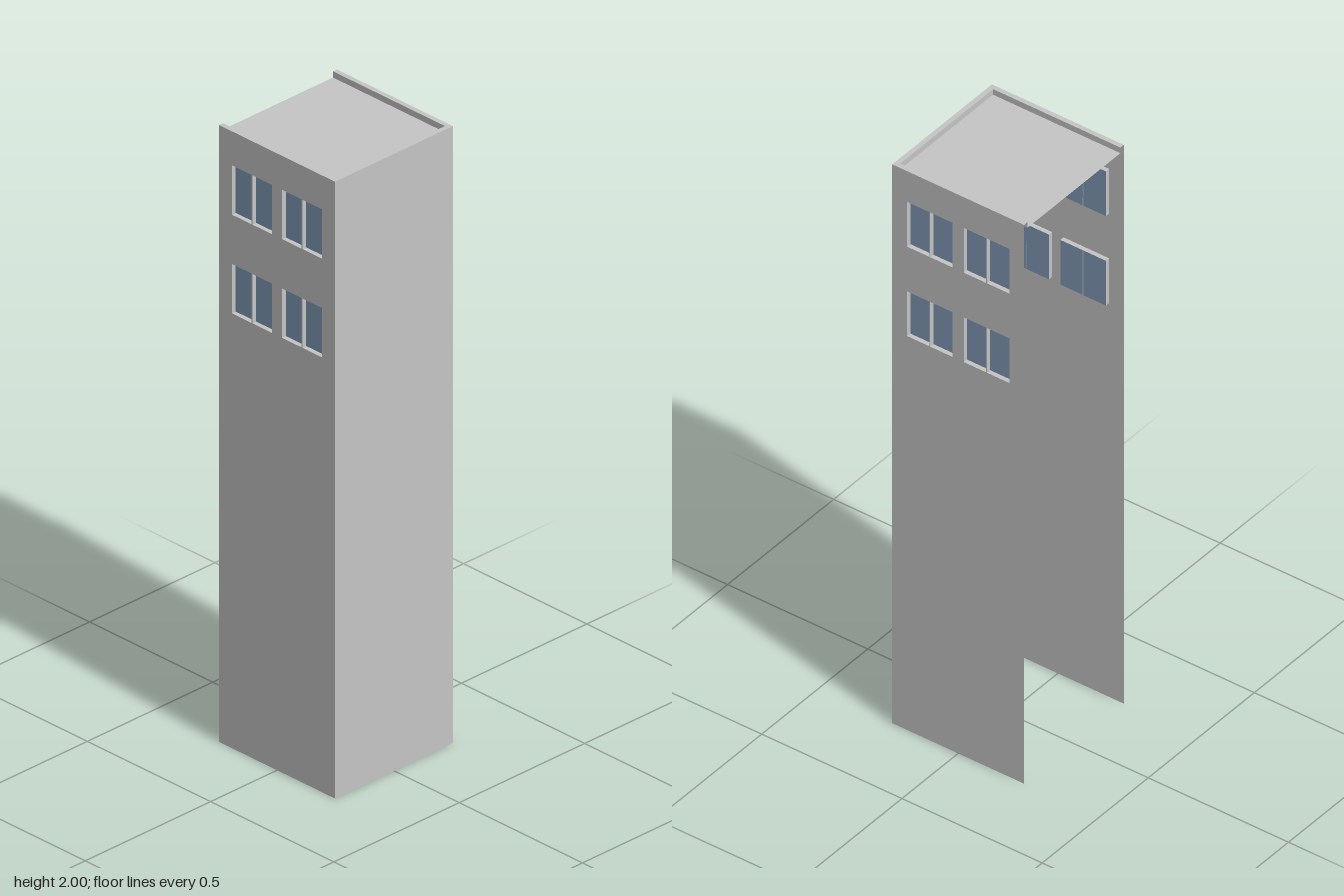
import * as THREE from 'three';

const H = 2, R = 0.235;            // height and half width
const RIM = 0.016, ROOF_Y = 1.98;  // parapet thickness and roof level
const DEPTH = 0.015;               // window recess
const COLUMNS = [[-0.183, -0.02], [0.02, 0.182]];
const ROWS = [[1.41, 1.57], [1.73, 1.89]];

export function createModel() {
  const model = new THREE.Group();
  model.name = 'tower';
  const wallMat = new THREE.MeshStandardMaterial({ color: 0xc5c5c6, side: THREE.DoubleSide });
  wallMat.name = 'grey concrete';
  const glassMat = new THREE.MeshStandardMaterial({ color: 0x819bb8, side: THREE.DoubleSide });
  glassMat.name = 'blue glass';

  // Flat sheet; rotated about x and y to face the wanted way
  const sheet = (parent, name, mat, w, h, [x, y, z], rx = 0, ry = 0) => {
    const mesh = new THREE.Mesh(new THREE.PlaneGeometry(w, h), mat);
    mesh.name = name;
    mesh.position.set(x, y, z);
    mesh.rotation.set(rx, ry, 0);
    parent.add(mesh);
  };
  const Q = Math.PI / 2;

  // Front and back walls with recessed, two-pane windows
  for (const s of [1, -1]) {
    const side = s > 0 ? 'front' : 'back';
    const shape = new THREE.Shape([[-R, 0], [R, 0], [R, H], [-R, H]].map(p => new THREE.Vector2(...p)));
    for (const [x0, x1] of COLUMNS) {
      for (const [y0, y1] of ROWS) {
        // Columns are mirrored for the back wall, which is turned round
        const [a, b] = s > 0 ? [x0, x1] : [-x1, -x0];
        shape.holes.push(new THREE.Path([[a, y0], [a, y1], [b, y1], [b, y0]].map(p => new THREE.Vector2(...p))));

        const win = new THREE.Group();
        win.name = side + 'Window';
        model.add(win);
        const w = x1 - x0, h = y1 - y0, cx = (x0 + x1) / 2, cy = (y0 + y1) / 2;
        const mid = s * (R - DEPTH / 2);
        sheet(win, 'pane', glassMat, w, h, [cx, cy, s * (R - DEPTH)], 0, s > 0 ? 0 : Math.PI);
        sheet(win, 'sill', wallMat, w, DEPTH, [cx, y0, mid], -Q);
        sheet(win, 'lintel', wallMat, w, DEPTH, [cx, y1, mid], Q);
        sheet(win, 'leftReveal', wallMat, DEPTH, h, [x1, cy, mid], 0, -Q);
        sheet(win, 'rightReveal', wallMat, DEPTH, h, [x0, cy, mid], 0, Q);
        const mullion = new THREE.Mesh(new THREE.BoxGeometry(0.003, h, DEPTH), wallMat);
        mullion.name = 'mullion';
        mullion.position.set(cx, cy, mid);
        win.add(mullion);
      }
    }
    const wall = new THREE.Mesh(new THREE.ShapeGeometry(shape), wallMat);
    wall.name = side + 'Wall';
    wall.position.z = s * R;
    wall.rotation.y = s > 0 ? 0 : Math.PI;
    model.add(wall);

    // Parapet cap and inner face above this wall
    const inner = R - RIM;
    sheet(model, side + 'ParapetCap', wallMat, 2 * R, RIM, [0, H, s * (R - RIM / 2)], -Q);
    sheet(model, side + 'ParapetInside', wallMat, 2 * R - RIM, H - ROOF_Y,
      [-RIM / 2, (H + ROOF_Y) / 2, s * inner], 0, s > 0 ? Math.PI : 0);
  }

  // Blank side wall with its parapet; the opposite side is open
  const inner = R - RIM;
  sheet(model, 'sideWall', wallMat, 2 * R, H, [R, H / 2, 0], 0, Q);
  sheet(model, 'sideParapetCap', wallMat, RIM, 2 * inner, [R - RIM / 2, H, 0], -Q);
  sheet(model, 'sideParapetInside', wallMat, 2 * inner, H - ROOF_Y, [inner, (H + ROOF_Y) / 2, 0], 0, -Q);

  // Roof sheet inside the parapet
  sheet(model, 'roof', wallMat, 2 * R - RIM, 2 * inner, [-RIM / 2, ROOF_Y, 0], -Q);
  return model;
}
